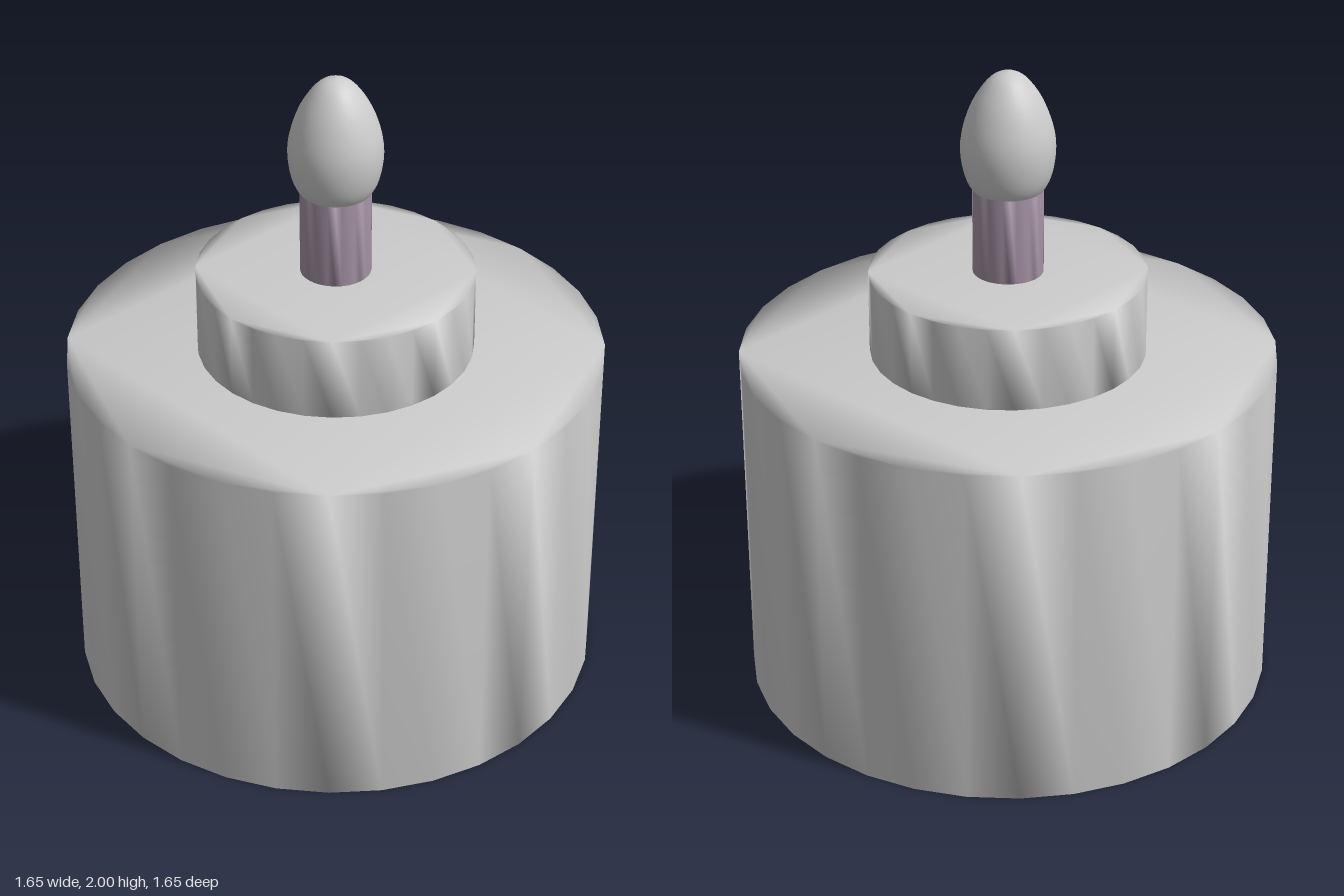
import * as THREE from 'three';
import { mergeVertices } from 'three/addons/utils/BufferGeometryUtils.js';

const grey = new THREE.MeshStandardMaterial({ color: 0xcccccc });
const mauve = new THREE.MeshStandardMaterial({ color: 0xa593a5 });

// Upright disc with normals blended across its rims
function drum(name, radius, bottom, top, material, sides = 32) {
  const points = [];
  for (let i = 0; i < sides; i++) {
    const a = (i / sides) * Math.PI * 2;
    points.push(new THREE.Vector2(Math.cos(a) * radius, Math.sin(a) * radius));
  }
  let geometry = new THREE.ExtrudeGeometry(new THREE.Shape(points), {
    depth: top - bottom, bevelEnabled: false,
  });
  geometry.rotateX(-Math.PI / 2);
  geometry.translate(0, bottom, 0);
  geometry.deleteAttribute('normal');
  geometry.deleteAttribute('uv');
  geometry = mergeVertices(geometry, 1e-4);
  geometry.computeVertexNormals();
  const mesh = new THREE.Mesh(geometry, material);
  mesh.name = name;
  return mesh;
}

// Egg-shaped flame, its blunt end sunk into the wick
function flame() {
  const profile = new THREE.SplineCurve([
    [0, 1.57], [0.06, 1.585], [0.108, 1.63], [0.132, 1.68], [0.143, 1.75],
    [0.136, 1.82], [0.108, 1.9], [0.07, 1.96], [0.036, 1.99], [0, 2],
  ].map(([r, y]) => new THREE.Vector2(r, y)));
  const points = profile.getPoints(24);
  points.forEach((p) => { p.x = Math.max(p.x, 0); });
  const mesh = new THREE.Mesh(new THREE.LatheGeometry(points, 32), grey);
  mesh.name = 'flame';
  return mesh;
}

export function createModel() {
  const group = new THREE.Group();
  group.name = 'candleCake';
  group.add(
    drum('lowerTier', 0.826, 0, 1.1, grey),
    drum('upperTier', 0.425, 1.1, 1.36, grey),
    drum('candle', 0.108, 1.36, 1.63, mauve),
    flame(),
  );
  return group;
}
